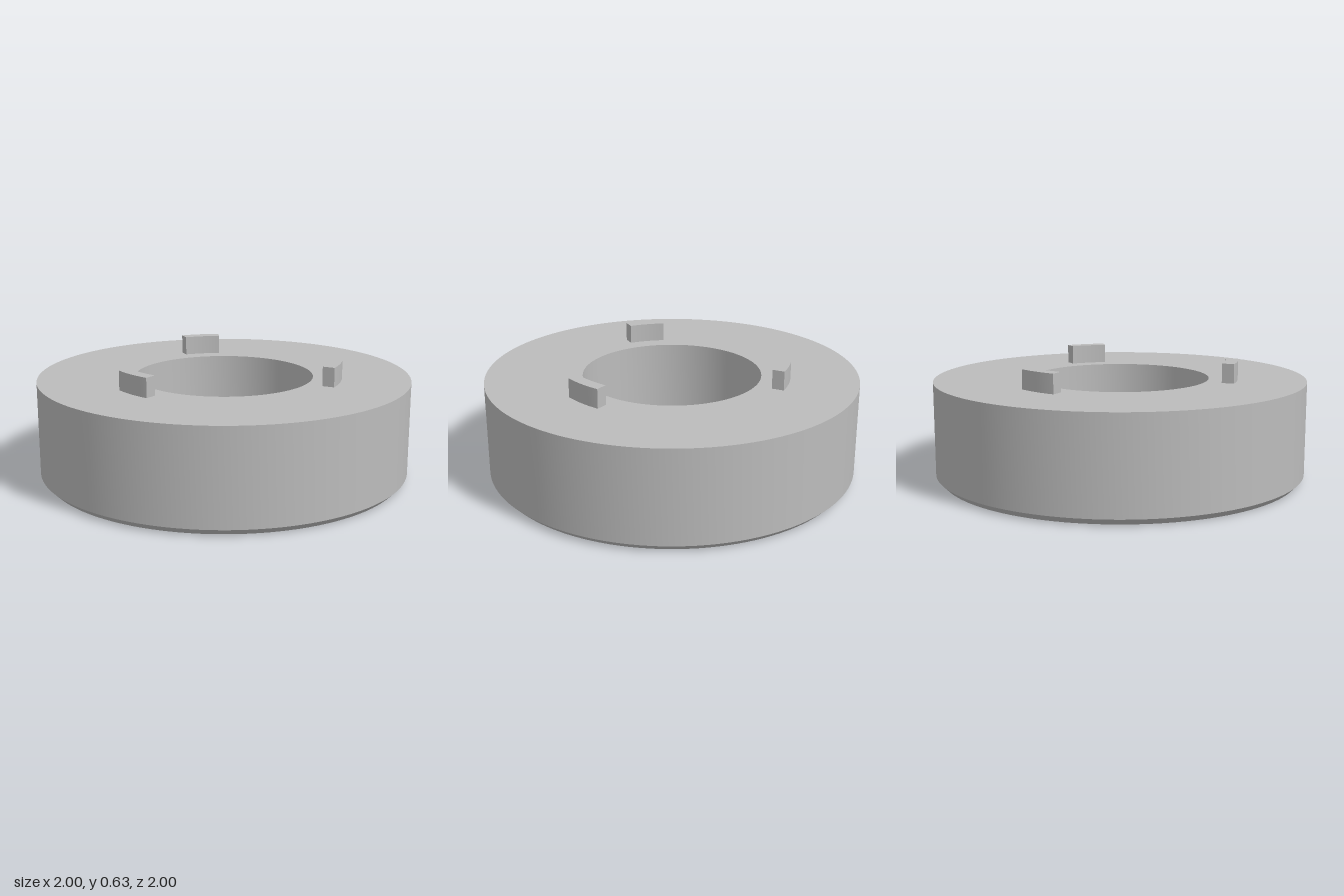
import * as THREE from 'three';
import { toCreasedNormals } from 'three/addons/utils/BufferGeometryUtils.js';

const TOP = 0.532, TAB_TOP = 0.635;
const CREASE = Math.PI / 6;

export function createModel() {
  const model = new THREE.Group();
  model.name = 'ringWithTabs';
  const grey = new THREE.MeshStandardMaterial({ color: 0xbcbcbc });
  grey.name = 'plainGrey';

  // Ring body: chamfered outer bottom edge and countersunk bore
  const profile = [
    [0.615, 0], [0.967, 0], [1, 0.033], [1, TOP],
    [0.48, TOP], [0.48, 0.135], [0.615, 0],
  ].map(([r, y]) => new THREE.Vector2(r, y));
  const ring = new THREE.Mesh(toCreasedNormals(new THREE.LatheGeometry(profile, 128), CREASE), grey);
  ring.name = 'ringBody';
  model.add(ring);

  // Three curved locating tabs on the top face, each spanning 20 degrees
  const half = THREE.MathUtils.degToRad(10);
  const shape = new THREE.Shape();
  shape.absarc(0, 0, 0.635, Math.PI / 2 - half, Math.PI / 2 + half, false);
  shape.absarc(0, 0, 0.57, Math.PI / 2 + half, Math.PI / 2 - half, true);
  const tabGeometry = toCreasedNormals(
    new THREE.ExtrudeGeometry(shape, { depth: TAB_TOP - TOP, bevelEnabled: false, curveSegments: 8 })
      .rotateX(-Math.PI / 2),
    CREASE,
  );
  ['backTab', 'frontRightTab', 'frontLeftTab'].forEach((name, i) => {
    const tab = new THREE.Mesh(tabGeometry, grey);
    tab.name = name;
    tab.position.y = TOP;
    tab.rotation.y = (i * Math.PI * 2) / 3;
    model.add(tab);
  });

  return model;
}
